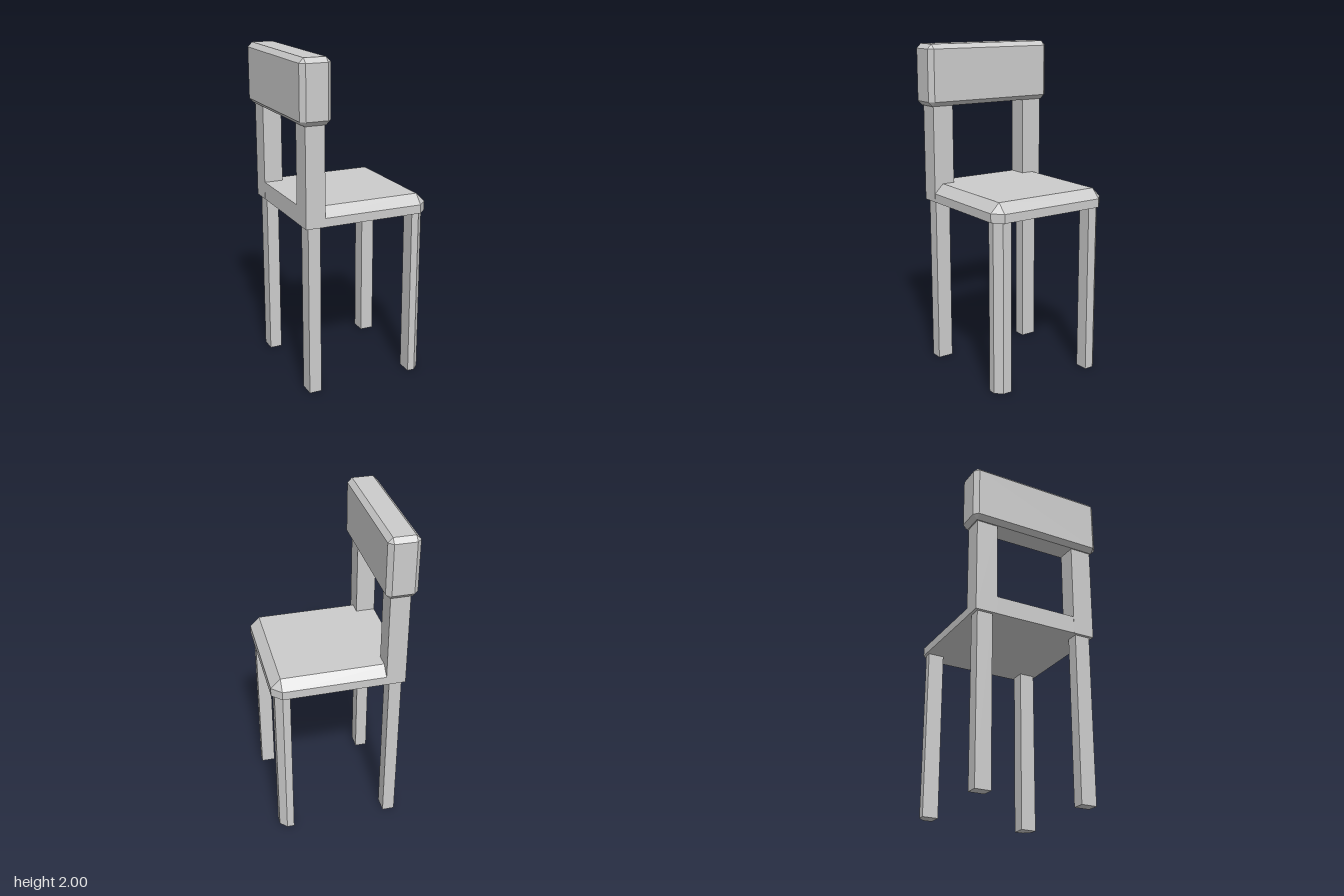
import * as THREE from 'three';
import { ConvexGeometry } from 'three/addons/geometries/ConvexGeometry.js';

const material = new THREE.MeshStandardMaterial({ color: 0xcccccc, flatShading: true });

function add(group, name, geometry) {
  const mesh = new THREE.Mesh(geometry, material);
  mesh.name = name;
  group.add(mesh);
}

// Box given by its minimum and maximum on each axis
function block(x0, x1, y0, y1, z0, z1) {
  return new THREE.BoxGeometry(x1 - x0, y1 - y0, z1 - z0)
    .translate((x0 + x1) / 2, (y0 + y1) / 2, (z0 + z1) / 2);
}

// Box with every edge and corner bevelled
function bevelledBox(w, h, d, b) {
  const points = [];
  for (const x of [-w / 2, w / 2])
    for (const y of [-h / 2, h / 2])
      for (const z of [-d / 2, d / 2]) {
        const ix = x - Math.sign(x) * b, iy = y - Math.sign(y) * b, iz = z - Math.sign(z) * b;
        points.push(new THREE.Vector3(x, iy, iz), new THREE.Vector3(ix, y, iz), new THREE.Vector3(ix, iy, z));
      }
  return new ConvexGeometry(points);
}

// Convex solid from horizontal outlines [y, [[x, z], ...]]
function layered(layers) {
  return new ConvexGeometry(layers.flatMap(([y, outline]) =>
    outline.map(([x, z]) => new THREE.Vector3(x, y, z))));
}

export function createModel() {
  const chair = new THREE.Group();
  chair.name = 'chair';

  // Seat: cut front corners, top bevelled on the front and sides
  const rim = [[-0.38, -0.397], [0.355, -0.397], [0.413, -0.341],
    [0.413, 0.341], [0.355, 0.397], [-0.38, 0.397]];
  const top = [[-0.38, -0.341], [0.355, -0.341], [0.355, 0.341], [-0.38, 0.341]];
  add(chair, 'seat', layered([[1.04, rim], [1.093, rim], [1.15, top]]));

  // Backrest board
  add(chair, 'backrest', bevelledBox(0.186, 0.37, 0.865, 0.028).translate(-0.323, 1.815, 0));

  for (const [side, s] of [['left', -1], ['right', 1]]) {
    const z = (a, b) => (s > 0 ? [a, b] : [-b, -a]);

    // Posts and rear legs
    add(chair, side + 'BackPost', block(-0.381, -0.263, 1.04, 1.65, ...z(0.262, 0.398)));
    add(chair, side + 'RearLeg', block(-0.362, -0.286, 0, 1.05, ...z(0.282, 0.38)));

    // Front legs with the outer corner cut off
    const outline = [[0.307, 0.282], [0.393, 0.282], [0.393, 0.339], [0.352, 0.38], [0.307, 0.38]]
      .map(([x, d]) => [x, s * d]);
    add(chair, side + 'FrontLeg', layered([[0, outline], [1.05, outline]]));
  }
  return chair;
}
